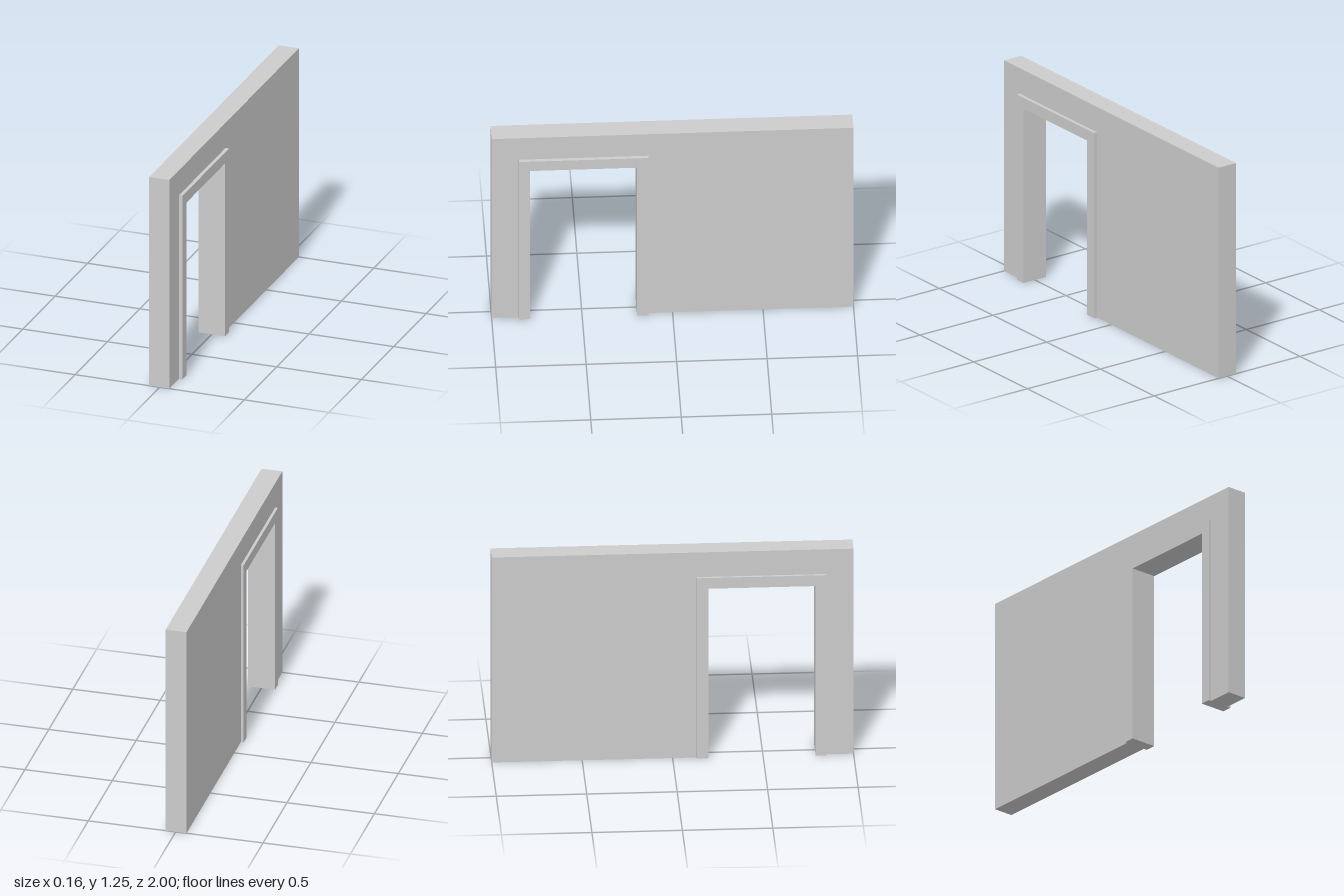
import * as THREE from 'three';

// Opening and surround dimensions, measured along z
const INNER = { front: 0.79, back: 0.197, top: 1.035 };
const OUTER = { front: 0.85, back: 0.133, top: 1.1 };
const WALL = { front: 1, back: -1, top: 1.25 };

// Upside-down U outline: an outer rectangle with a doorway cut up from the floor
function archShape(outer, inner) {
  return new THREE.Shape([
    [outer.front, 0], [inner.front, 0], [inner.front, inner.top], [inner.back, inner.top],
    [inner.back, 0], [outer.back, 0], [outer.back, outer.top], [outer.front, outer.top],
  ].map(([z, y]) => new THREE.Vector2(-z, y)));
}

// Extrude an outline across the wall thickness, from x0 to x1
function slab(name, shape, x0, x1, material) {
  const geometry = new THREE.ExtrudeGeometry(shape, { depth: x1 - x0, bevelEnabled: false });
  geometry.rotateY(Math.PI / 2).translate(x0, 0, 0);
  const mesh = new THREE.Mesh(geometry, material);
  mesh.name = name;
  return mesh;
}

export function createModel() {
  const group = new THREE.Group();
  group.name = 'doorwayWall';
  const material = new THREE.MeshStandardMaterial({ color: 0xcccccc });

  // Wall fits around the door frame
  group.add(slab('wall', archShape(WALL, OUTER), -0.062, 0.057, material));
  // Frame lines the opening and stands proud of both wall faces
  group.add(slab('doorFrame', archShape(OUTER, INNER), -0.078, 0.078, material));

  return group;
}
